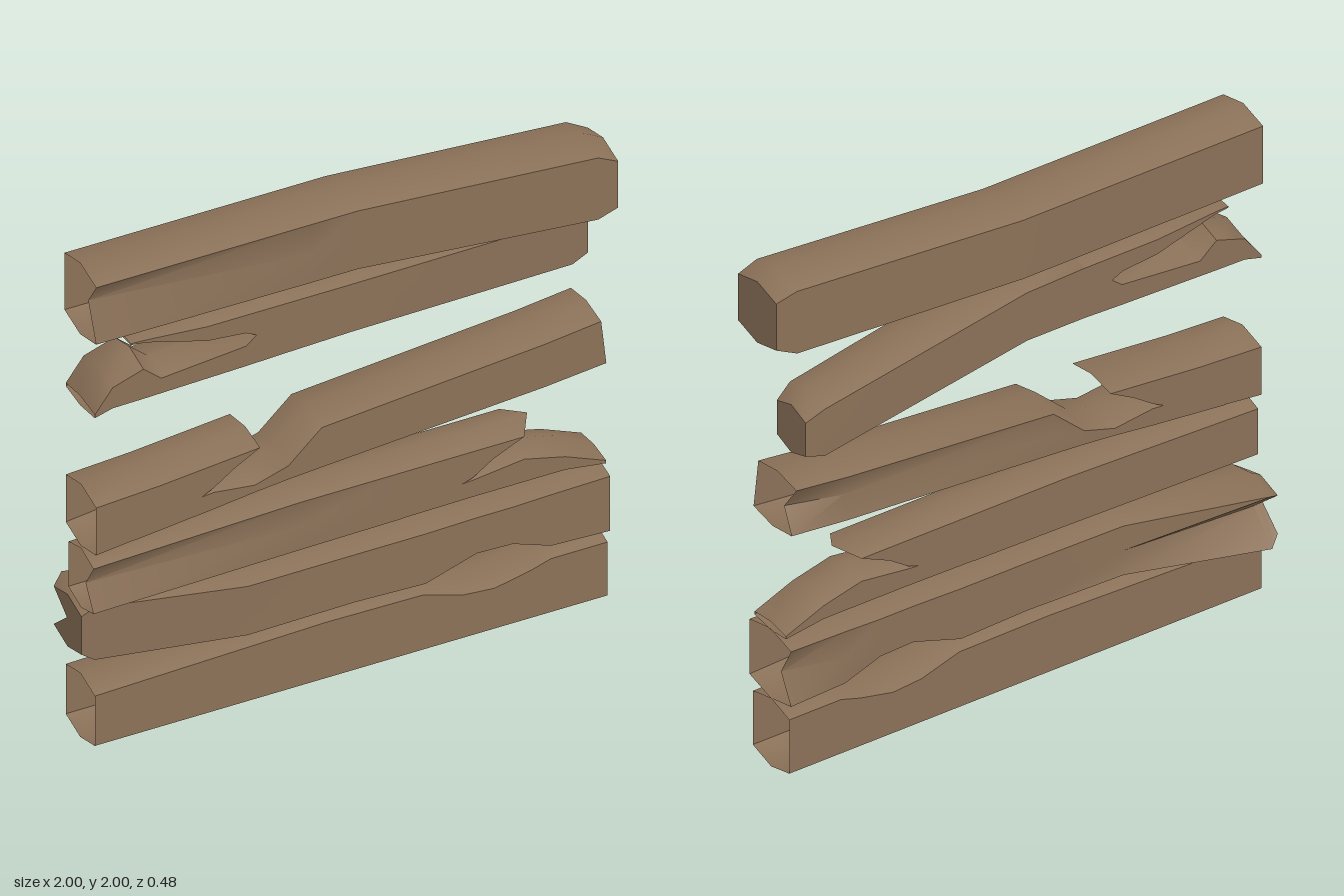
import * as THREE from 'three';
import { toCreasedNormals } from 'three/addons/utils/BufferGeometryUtils.js';

const wood = new THREE.MeshStandardMaterial({ color: 0x8b7158, side: THREE.DoubleSide });
wood.name = 'weathered wood';

// One ring: pointed top and bottom, upright sides with a middle point that can be dented.
// o.xs shifts top, shoulder, middle, low and bottom points along x for slanted breaks.
function ring([x, yB, yT, zF = 0.13, zB = -0.09, o = {}]) {
  const s = Math.min(o.s ?? 0.03, (yT - yB) / 3);
  const zc = (zF + zB) / 2, ym = o.ym ?? (yT + yB) / 2;
  const [a, b, c, d, e] = o.xs ?? [0, 0, 0, 0, 0];
  return [
    [x + a, yT, zc], [x + b, yT - s, zF], [x + c, ym, zF - (o.front ?? 0)], [x + d, yB + s, zF],
    [x + e, yB, zc], [x + d, yB + s, zB], [x + c, ym, zB + (o.back ?? 0)], [x + b, yT - s, zB],
  ];
}

// Tube through the rings, with optional end caps
function beam(name, stations, capLeft = false, capRight = false) {
  const rings = stations.map(ring), n = 8, pos = [], idx = [];
  rings.forEach(r => r.forEach(p => pos.push(...p)));
  for (let i = 0; i < rings.length - 1; i++) {
    for (let k = 0; k < n; k++) {
      const a = i * n + k, b = i * n + (k + 1) % n;
      idx.push(a, b, a + n, b, b + n, a + n);
    }
  }
  const cap = (i, flip) => {
    const c = pos.length / 3;
    pos.push(...[0, 1, 2].map(j => rings[i].reduce((t, p) => t + p[j], 0) / n));
    for (let k = 0; k < n; k++) {
      const a = i * n + k, b = i * n + (k + 1) % n;
      idx.push(c, flip ? b : a, flip ? a : b);
    }
  };
  if (capLeft) cap(0, true);
  if (capRight) cap(rings.length - 1, false);
  const g = new THREE.BufferGeometry();
  g.setAttribute('position', new THREE.Float32BufferAttribute(pos, 3));
  g.setIndex(idx);
  const mesh = new THREE.Mesh(toCreasedNormals(g, 0.8), wood);
  mesh.name = name;
  return mesh;
}

function group(name, ...parts) {
  const g = new THREE.Group();
  g.name = name;
  g.add(...parts);
  return g;
}

export function createModel() {
  const model = new THREE.Group();
  model.name = 'brokenLogWall';

  // Bottom log, worn down on top towards its left end
  model.add(beam('bottomLog', [
    [-1, 0, 0.27], [-0.1, 0, 0.295], [0.28, 0, 0.29], [0.44, 0, 0.24],
    [0.56, 0, 0.23], [0.7, 0, 0.26], [0.78, 0, 0.285], [1, 0, 0.285],
  ]));

  // Second log: one end bends backwards and is split, underside is worn
  model.add(beam('secondLog', [
    [-0.985, 0.3, 0.52, 0.0, -0.21, { back: 0.1, ym: 0.42 }],
    [-0.94, 0.27, 0.55, 0.01, -0.24, { back: 0.11, ym: 0.42 }],
    [-0.41, 0.29, 0.555, 0.145, -0.1],
    [0, 0.3, 0.56, 0.15, -0.1],
    [0.28, 0.29, 0.56, 0.15, -0.1],
    [0.48, 0.355, 0.565, 0.15, -0.1],
    [0.62, 0.35, 0.565, 0.15, -0.1],
    [0.77, 0.295, 0.57, 0.15, -0.1],
    [1, 0.285, 0.575, 0.15, -0.1, { back: 0.06 }],
  ], true));

  // Third log: long splinter above a crushed end
  model.add(group('thirdLog',
    beam('thirdLogBody', [
      [-1, 0.55, 0.8, 0.12, -0.07, { front: 0.06 }],
      [-0.2, 0.565, 0.825, 0.12, -0.07],
      [0.2, 0.57, 0.825, 0.12, -0.07],
      [0.48, 0.66, 0.82, 0.12, -0.07, { xs: [0.26, 0.2, 0.08, 0, 0], s: 0.025 }],
    ]),
    beam('thirdLogCrushedEnd', [
      [0.1, 0.57, 0.68, 0.12, -0.07], [0.48, 0.575, 0.705, 0.12, -0.07],
      [0.68, 0.575, 0.73, 0.12, -0.07], [0.84, 0.575, 0.69, 0.12, -0.07],
      [1, 0.57, 0.605, 0.12, -0.07],
    ])));

  // Fourth log: tilted, bitten through from above
  model.add(group('fourthLog',
    beam('fourthLogSplinter', [
      [-1, 0.81, 1.07, 0.14, -0.09],
      [-0.75, 0.84, 1.085, 0.14, -0.09],
      [-0.54, 0.96, 1.112, 0.14, -0.09, { xs: [0.18, 0.18, 0.08, 0, 0], s: 0.02 }],
    ]),
    beam('fourthLogBody', [
      [-0.85, 0.826, 0.96, 0.14, -0.09], [-0.54, 0.86, 0.99, 0.14, -0.09],
      [-0.38, 0.88, 0.97, 0.14, -0.09], [-0.25, 0.893, 1.01, 0.14, -0.09],
      [-0.12, 0.903, 1.13, 0.14, -0.09],
      [0.75, 0.965, 1.205, 0.14, -0.09, { back: 0.03 }],
      [0.98, 1.0, 1.222, 0.14, -0.09, { xs: [-0.01, -0.01, 0, 0.01, 0.01], back: 0.06, s: 0.02 }],
    ])));

  // Fifth log: bends backwards at one end, cracked open at the other
  model.add(group('fifthLog',
    beam('fifthLogBody', [
      [-1, 1.4, 1.44], [-0.93, 1.403, 1.55], [-0.81, 1.405, 1.59], [-0.74, 1.407, 1.53],
      [-0.41, 1.416, 1.56], [-0.25, 1.422, 1.69], [0, 1.43, 1.69, 0.13, -0.1],
      [0.92, 1.355, 1.61, 0.02, -0.19],
      [0.99, 1.37, 1.57, 0.0, -0.175],
    ], false, true),
    beam('fifthLogSplinter', [
      [-0.86, 1.672, 1.688], [-0.8, 1.66, 1.69], [-0.56, 1.57, 1.69],
      [-0.41, 1.555, 1.69], [-0.2, 1.45, 1.69],
    ])));

  // Top log: bends forwards at its closed end, dented at the open end
  model.add(beam('topLog', [
    [-1, 1.7, 2.0, 0.14, -0.1, { front: 0.06, ym: 1.88 }],
    [-0.15, 1.695, 2.0, 0.14, -0.1],
    [0.02, 1.695, 2.0, 0.14, -0.1],
    [0.91, 1.68, 2.0, 0.235, -0.01],
    [0.985, 1.71, 1.965, 0.24, 0.01],
  ], false, true));

  return model;
}
